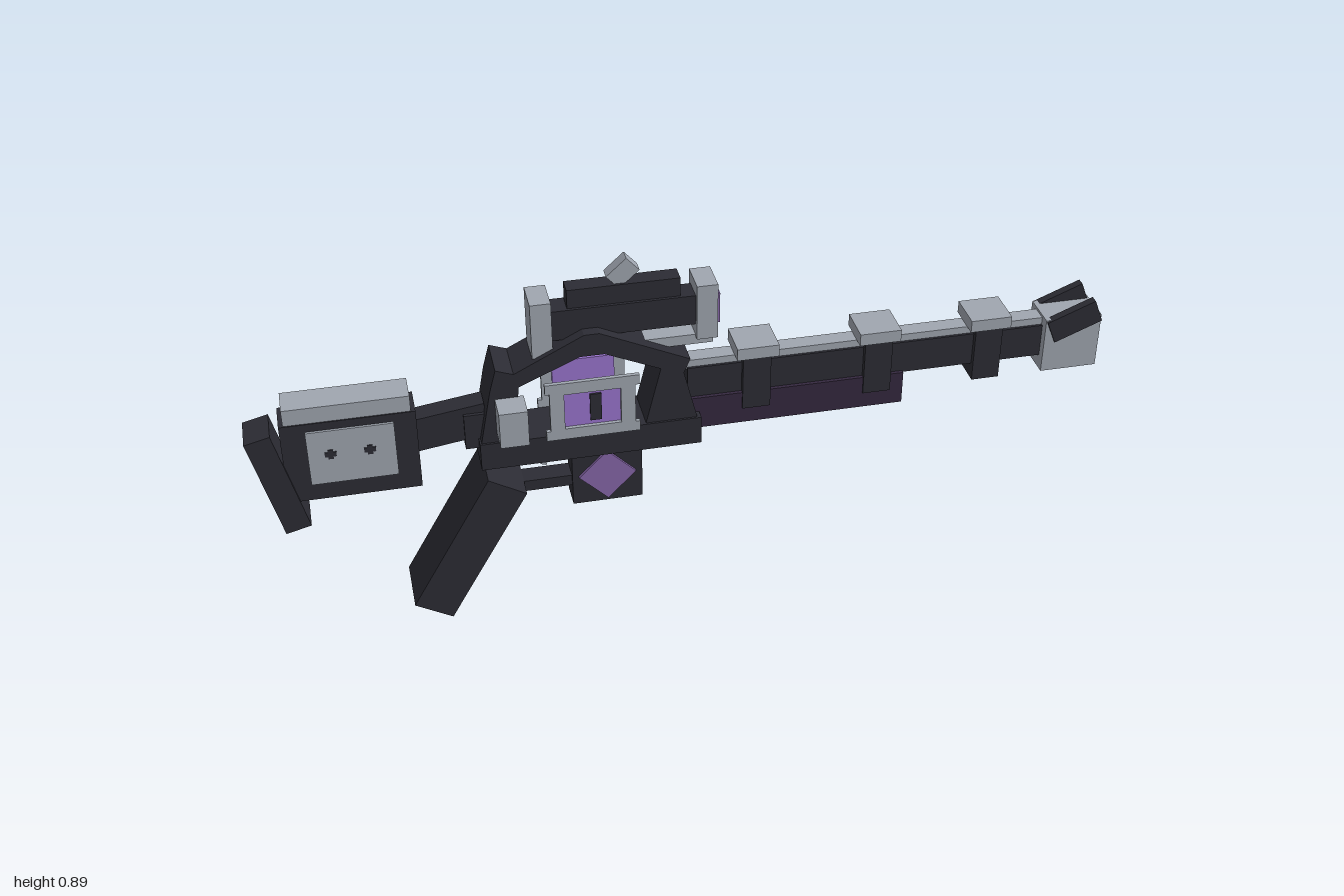
import * as THREE from 'three';

const mat = (name, color) => {
  const m = new THREE.MeshStandardMaterial({ color });
  m.name = name;
  return m;
};

export function createModel() {
  const dark = mat('charcoal', 0x2c2c34);
  const silver = mat('silver', 0xa0a6b0);
  const violet = mat('violet', 0x9a74ce);
  const mauve = mat('mauve', 0x8666a8);
  const plum = mat('plum', 0x34283f);

  const root = new THREE.Group();
  root.name = 'rifle';
  const MID = -0.021; // centre plane of the rifle

  const add = (name, geo, material, x, y, z, tilt = 0) => {
    const mesh = new THREE.Mesh(geo, material);
    mesh.name = name;
    mesh.position.set(x, y, z);
    mesh.rotation.z = THREE.MathUtils.degToRad(tilt);
    root.add(mesh);
    return mesh;
  };
  // box from x and y limits, centred on the middle plane
  const block = (name, m, x0, x1, y0, y1, depth, z = MID) =>
    add(name, new THREE.BoxGeometry(x1 - x0, y1 - y0, depth), m, (x0 + x1) / 2, (y0 + y1) / 2, z);
  // tilted box given by centre and size
  const tilted = (name, m, x, y, w, h, depth, deg, z = MID) =>
    add(name, new THREE.BoxGeometry(w, h, depth), m, x, y, z, deg);
  const extrude = (outer, hole, depth) => {
    const v = (p) => p.map(([x, y]) => new THREE.Vector2(x, y));
    const shape = new THREE.Shape(v(outer));
    if (hole) shape.holes.push(new THREE.Path(v(hole)));
    return new THREE.ExtrudeGeometry(shape, { depth, bevelEnabled: false }).translate(0, 0, -depth / 2);
  };

  // stock
  tilted('buttPad', dark, -0.938, 0.423, 0.06, 0.262, 0.092, 14);
  block('stockBody', dark, -0.92, -0.62, 0.37, 0.575, 0.08);
  block('stockCheekRest', silver, -0.91, -0.63, 0.57, 0.615, 0.074);
  tilted('stockLink', dark, -0.56, 0.507, 0.2, 0.085, 0.05, 8);
  block('linkCollar', dark, -0.515, -0.465, 0.45, 0.54, 0.066);

  // receiver: arched shell with an open middle, on a wider base
  add('receiverArch', extrude(
    [[-0.48, 0.41], [0.022, 0.41], [0.02, 0.46], [-0.015, 0.6], [0, 0.635], [-0.205, 0.73], [-0.24, 0.73],
      [-0.4, 0.65], [-0.44, 0.665], [-0.455, 0.61], [-0.482, 0.47]],
    [[-0.405, 0.47], [-0.39, 0.615], [-0.25, 0.675], [-0.195, 0.675], [-0.068, 0.618], [-0.105, 0.47]], 0.11),
    dark, 0, 0, MID);
  block('receiverBase', dark, -0.485, 0.025, 0.405, 0.475, 0.12);
  block('chargingKnob', silver, -0.445, -0.38, 0.5, 0.59, 0.066, 0.064);

  // details repeated on both sides
  const frame = extrude(
    [[-0.335, 0.47], [-0.12, 0.47], [-0.12, 0.495], [-0.13, 0.495], [-0.13, 0.595], [-0.12, 0.595],
      [-0.12, 0.62], [-0.335, 0.62], [-0.335, 0.595], [-0.325, 0.595], [-0.325, 0.495], [-0.335, 0.495]],
    [[-0.292, 0.498], [-0.292, 0.59], [-0.163, 0.59], [-0.163, 0.498]], 0.01);
  for (const s of [1, -1]) {
    const z = (d) => MID + s * d;
    add('windowFrame', frame, silver, 0, 0, z(0.066));
    block('windowPanel', violet, -0.3, -0.155, 0.49, 0.6, 0.008, z(0.058));
    block('windowSlot', dark, -0.233, -0.207, 0.51, 0.58, 0.006, z(0.064));
    block('stockPanel', silver, -0.865, -0.67, 0.415, 0.555, 0.008, z(0.042));
    for (const x of [-0.815, -0.728]) {
      block('panelStud', dark, x - 0.013, x + 0.013, 0.487, 0.499, 0.004, z(0.0465));
      block('panelStud', dark, x - 0.006, x + 0.006, 0.481, 0.505, 0.004, z(0.0465));
    }
    tilted('magazineDiamond', mauve, -0.193, 0.332, 0.095, 0.095, 0.008, 45, z(0.035));
    tilted('muzzleFin', dark, 0.925, 0.605, 0.122, 0.06, 0.02, 22, z(0.041));
  }

  // grip, trigger and magazine
  tilted('grip', dark, -0.527, 0.192, 0.1, 0.385, 0.147, -30);
  block('triggerGuard', dark, -0.42, -0.27, 0.305, 0.333, 0.05);
  tilted('trigger', silver, -0.33, 0.385, 0.014, 0.05, 0.015, -18);
  block('magazine', dark, -0.275, -0.11, 0.255, 0.41, 0.064);

  // barrel and handguard
  block('barrel', dark, 0, 0.87, 0.508, 0.59, 0.052);
  block('barrelRail', silver, -0.01, 0.87, 0.585, 0.608, 0.04);
  block('handguard', plum, 0, 0.515, 0.43, 0.512, 0.07);
  for (const x of [0.16, 0.45, 0.718]) {
    block('barrelBand', dark, x - 0.033, x + 0.033, 0.47, 0.612, 0.078);
    block('bandCap', silver, x - 0.049, x + 0.049, 0.608, 0.638, 0.094);
  }

  // muzzle
  block('muzzle', silver, 0.855, 0.992, 0.475, 0.614, 0.092);
  block('muzzleOpening', dark, 0.991, 0.996, 0.505, 0.582, 0.053);

  // sight
  block('sightMount', silver, -0.16, 0.058, 0.655, 0.68, 0.052);
  block('sightBody', dark, -0.32, 0.03, 0.708, 0.782, 0.056);
  block('sightTop', dark, -0.27, -0.015, 0.775, 0.828, 0.042);
  block('sightRearPlate', silver, -0.355, -0.308, 0.675, 0.812, 0.082);
  block('sightFrontPlate', silver, 0.018, 0.066, 0.675, 0.812, 0.082);
  block('sightLens', mauve, 0.065, 0.074, 0.705, 0.781, 0.053);
  tilted('sightDial', silver, -0.143, 0.852, 0.062, 0.044, 0.03, 42);

  return root;
}
